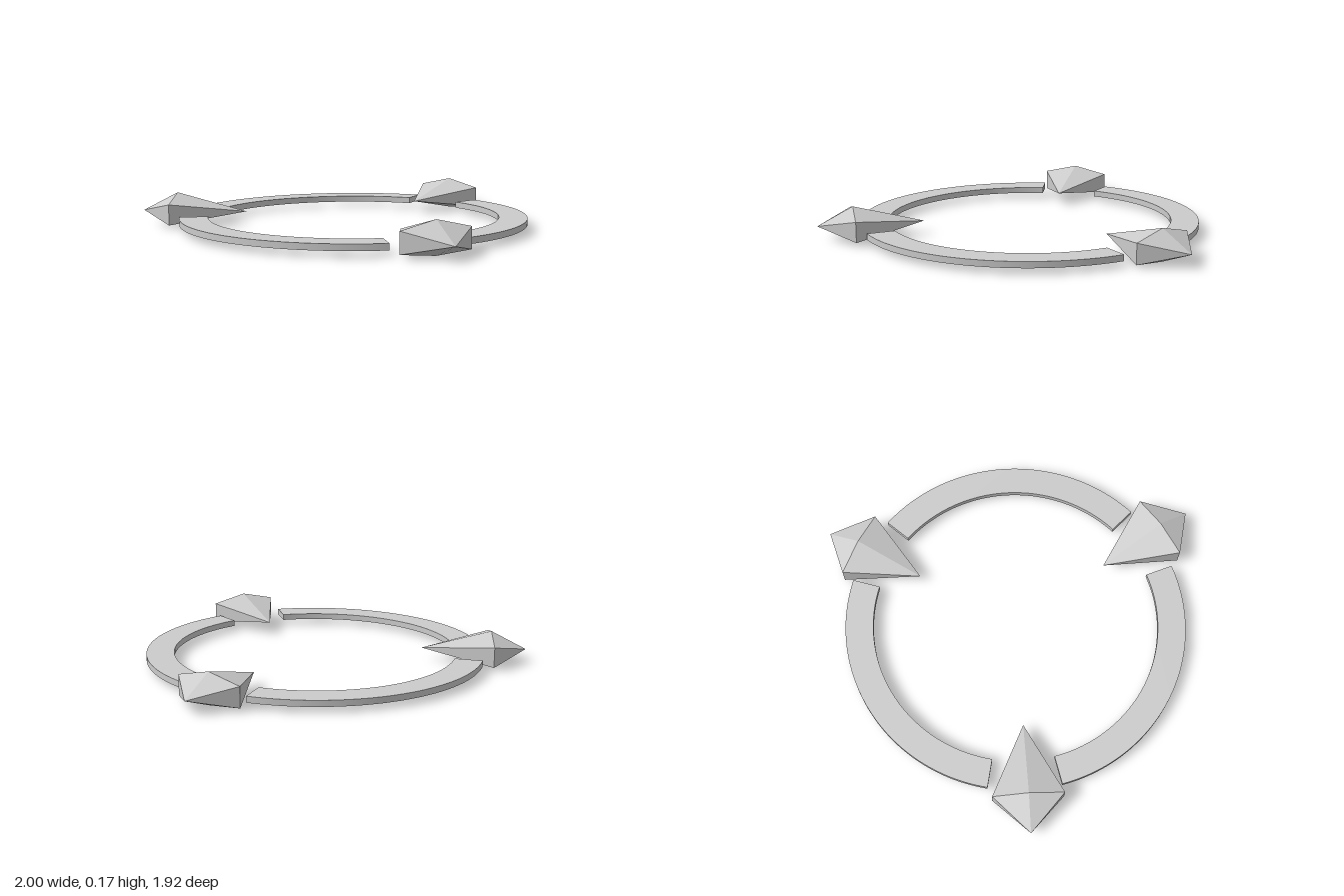
import * as THREE from 'three';
import { ConvexGeometry } from 'three/addons/geometries/ConvexGeometry.js';
import { toCreasedNormals } from 'three/addons/utils/BufferGeometryUtils.js';

const material = new THREE.MeshStandardMaterial({ color: 0xcccccc });
const spikeMaterial = new THREE.MeshStandardMaterial({ color: 0xcccccc, flatShading: true });

// Flat curved band lying in the xz plane, between two angles in degrees
function arcBand(inner, outer, bottom, height, from, to) {
  const a = THREE.MathUtils.degToRad(from);
  const b = THREE.MathUtils.degToRad(to);
  const shape = new THREE.Shape();
  shape.absarc(0, 0, outer, a, b, false);
  shape.absarc(0, 0, inner, b, a, true);
  shape.closePath();
  const geometry = new THREE.ExtrudeGeometry(shape, { depth: height, bevelEnabled: false, curveSegments: 32 });
  geometry.rotateX(-Math.PI / 2).translate(0, bottom, 0);
  return toCreasedNormals(geometry, 0.5);
}

// Faceted arrowhead: a hexagonal cross-section drawn to an inner and an outer point
function spike() {
  const section = [[0.165, 0], [0.123, 0.18], [0.017, 0.18], [0, 0], [0.017, -0.18], [0.123, -0.18]];
  const points = section.map(([y, z]) => new THREE.Vector3(0.926, y, z));
  points.push(new THREE.Vector3(0.562, 0.07, 0), new THREE.Vector3(1.108, 0.07, 0));
  return new ConvexGeometry(points);
}

export function createModel() {
  const model = new THREE.Group();
  model.name = 'spikedRing';

  const bandGeometry = arcBand(0.744, 0.889, 0.029, 0.032, 11.3, 107);
  const spikeGeometry = spike();

  // Three identical sectors, each a spike and the band that follows it
  for (let i = 0; i < 3; i++) {
    const sector = new THREE.Group();
    sector.name = `sector${i + 1}`;
    sector.rotation.y = (i * Math.PI * 2) / 3;

    const band = new THREE.Mesh(bandGeometry, material);
    band.name = 'ringSegment';
    const head = new THREE.Mesh(spikeGeometry, spikeMaterial);
    head.name = 'spike';
    sector.add(band, head);
    model.add(sector);
  }

  model.position.x = -0.111;
  return model;
}
